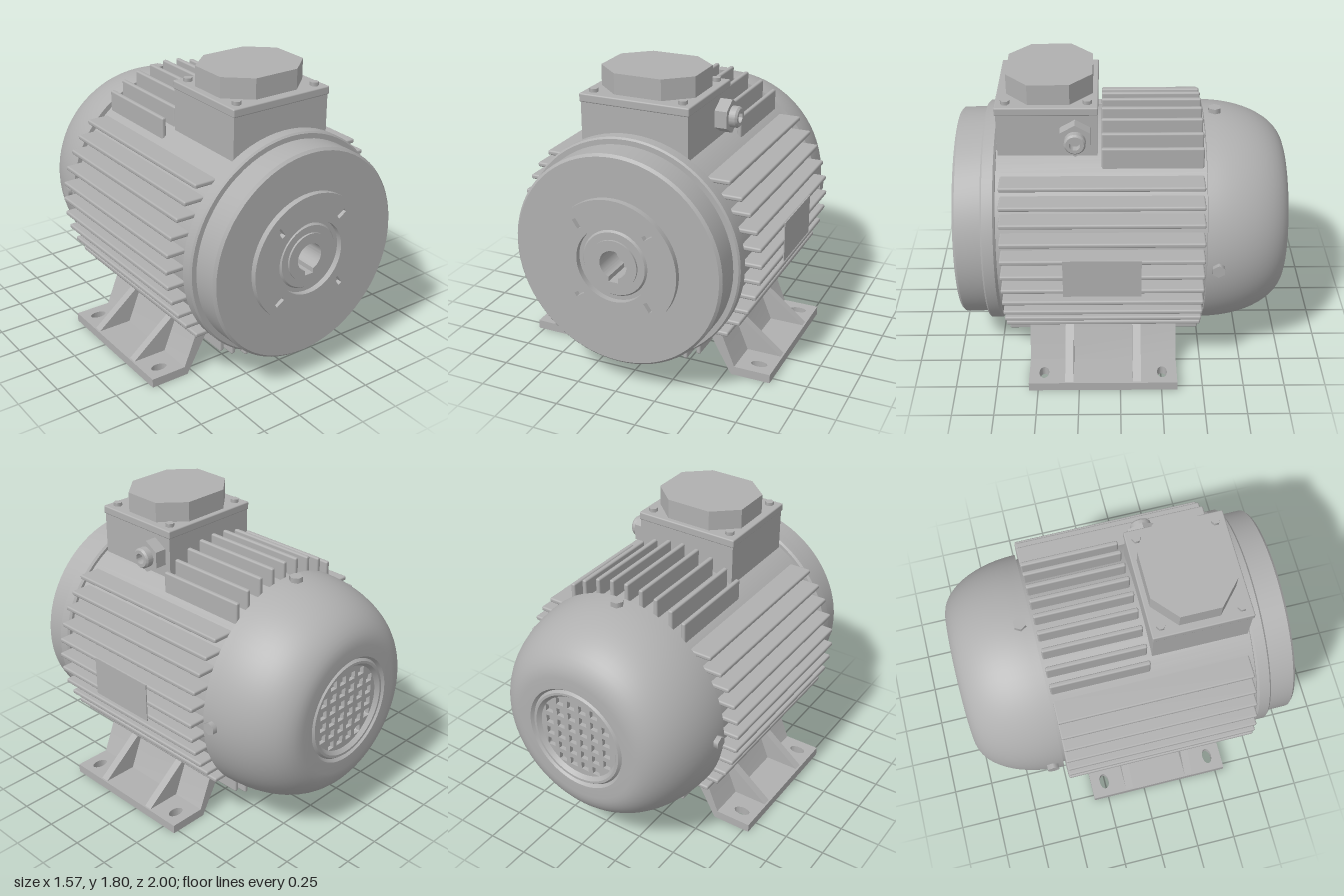
import * as THREE from 'three';
import { toCreasedNormals } from 'three/addons/utils/BufferGeometryUtils.js';
import { RoundedBoxGeometry } from 'three/addons/geometries/RoundedBoxGeometry.js';

const castMetal = new THREE.MeshStandardMaterial({ color: 0xb0b0b0 });
castMetal.name = 'castMetal';
const AXIS = 0.815; // height of the shaft axis

function add(parent, name, geometry, x = 0, y = 0, z = 0) {
  const mesh = new THREE.Mesh(geometry, castMetal);
  mesh.name = name;
  mesh.position.set(x, y, z);
  parent.add(mesh);
  return mesh;
}

// Turned part about the z axis from [radius, z] pairs, running from back to front
function turned(points) {
  const profile = points.map(([r, z]) => new THREE.Vector2(r, z));
  return toCreasedNormals(new THREE.LatheGeometry(profile, 72).rotateX(Math.PI / 2), 0.5);
}

const polygon = (points) => new THREE.Shape(points.map(([x, y]) => new THREE.Vector2(x, y)));
const extrude = (shape, depth) =>
  toCreasedNormals(new THREE.ExtrudeGeometry(shape, { depth, bevelEnabled: false, curveSegments: 36 }), 0.5);
const disc = (r) => new THREE.Shape().absarc(0, 0, r, 0, Math.PI * 2);

// Rectangular hole with its centre, size and turn
function slot(x, y, w, h, turn = 0) {
  const c = Math.cos(turn), s = Math.sin(turn);
  return polygon([[-w, -h], [w, -h], [w, h], [-w, h]].map(([u, v]) =>
    [x + (u * c - v * s) / 2, y + (u * s + v * c) / 2]));
}

function buildHousing(motor) {
  const housing = new THREE.Group();
  housing.name = 'housing';
  housing.position.y = AXIS;
  motor.add(housing);

  add(housing, 'statorBody', turned([[0, -0.52], [0.65, -0.52], [0.65, 0.8], [0, 0.8]]));

  // Front flange, drum and stepped bearing seat
  add(housing, 'frontEndShield', turned([
    [0.6, 0.715], [0.668, 0.715], [0.68, 0.727], [0.68, 0.79], [0.67, 0.8], [0.64, 0.8],
    [0.64, 0.95], [0.625, 0.965], [0.2, 0.965], [0.19, 0.978], [0.14, 0.978],
  ]));
  const plate = disc(0.39);
  plate.holes.push(disc(0.225));
  for (let i = 0; i < 4; i++) {
    const a = Math.PI / 4 + i * Math.PI / 2;
    plate.holes.push(slot(0.305 * Math.cos(a), 0.305 * Math.sin(a), 0.06, 0.025, a - 0.2));
  }
  add(housing, 'frontPlate', extrude(plate, 0.04), 0, 0, 0.96);

  // Hub with a keyed bore
  const hub = disc(0.146);
  const bore = new THREE.Path();
  bore.absarc(0, 0, 0.084, -Math.PI / 2 + 0.36, Math.PI * 1.5 - 0.36);
  bore.lineTo(-0.03, -0.108);
  bore.lineTo(0.03, -0.108);
  bore.closePath();
  hub.holes.push(bore);
  add(housing, 'shaftHub', extrude(hub, 0.19), 0, 0, 0.8);

  // Cooling fins on four sides: 0 = left, 1 = top, 2 = right, 3 = bottom
  const offsets = [0, 0.1, 0.2, 0.3, 0.385, 0.47];
  for (let side = 0; side < 4; side++) {
    const fins = new THREE.Group();
    fins.name = ['leftFins', 'topFins', 'rightFins', 'bottomFins'][side];
    fins.rotation.z = side * Math.PI / 2;
    housing.add(fins);
    const front = side === 1 ? 0.105 : 0.69;
    const back = -0.485;
    offsets.slice(0, side % 2 ? 5 : 6).forEach((o) => {
      const inner = Math.sqrt(0.65 ** 2 - o * o) - 0.03;
      const tip = Math.sqrt((0.765 - 0.12 * o * o) ** 2 - o * o);
      for (const sign of o ? [-1, 1] : [1]) {
        add(fins, 'fin', new RoundedBoxGeometry(tip - inner, 0.028, front - back, 2, 0.01),
          (inner + tip) / 2, sign * o, (front + back) / 2);
      }
    });
  }

  // Type plate carried by the left fins
  add(housing, 'typePlate', new THREE.BoxGeometry(0.006, 0.245, 0.45), 0.766, 0, 0.105);
}

function buildFanCover(motor) {
  const cover = new THREE.Group();
  cover.name = 'fanCover';
  cover.position.y = AXIS;
  motor.add(cover);

  // Domed shell with a grooved rim around the air inlet
  const profile = [[0.265, -0.94], [0.265, -0.975], [0.285, -0.998], [0.3, -0.998], [0.313, -0.982], [0.328, -1]];
  for (let i = 0; i <= 14; i++) {
    const a = (i / 14) * Math.PI / 2;
    profile.push([0.4 + 0.28 * Math.sin(a), -0.5 - 0.5 * Math.cos(a)]);
  }
  profile.push([0.64, -0.5]);
  add(cover, 'coverShell', turned(profile));

  // Square-holed inlet grille
  const grille = disc(0.27);
  for (let i = 0; i < 6; i++) {
    for (let j = 0; j < 6; j++) {
      const x = (i - 2.5) * 0.08, y = (j - 2.5) * 0.08;
      if (Math.hypot(x, y) < 0.24) grille.holes.push(slot(x, y, 0.05, 0.05));
    }
  }
  add(cover, 'inletGrille', extrude(grille, 0.025), 0, 0, -0.975);
  add(cover, 'grilleBacking', new THREE.CircleGeometry(0.27, 48).rotateY(Math.PI), 0, 0, -0.942);

  // Hex screws around the cover edge
  for (let i = 0; i < 4; i++) {
    const a = i * Math.PI / 2;
    const screw = add(cover, 'coverScrew',
      new THREE.CylinderGeometry(0.04, 0.04, 0.06, 6).toNonIndexed().rotateY(Math.PI / 6),
      0.675 * Math.cos(a), 0.675 * Math.sin(a), -0.567);
    screw.rotation.z = a - Math.PI / 2;
  }
}

function buildTerminalBox(motor) {
  const box = new THREE.Group();
  box.name = 'terminalBox';
  motor.add(box);
  add(box, 'boxBody', new THREE.BoxGeometry(0.655, 0.275, 0.575), 0, 1.5, 0.418);
  add(box, 'boxLid', new RoundedBoxGeometry(0.67, 0.05, 0.59, 2, 0.008), 0, 1.658, 0.418);

  // Raised eight-sided cap
  const w = 0.29, d = 0.25, c = 0.143;
  const cap = polygon([[-c, -d], [c, -d], [w, -d + 0.13], [w, d - 0.13], [c, d], [-c, d], [-w, d - 0.13], [-w, -d + 0.13]]);
  add(box, 'boxCap', extrude(cap, 0.125).rotateX(-Math.PI / 2), 0, 1.68, 0.405);

  for (const x of [-0.272, 0.272]) {
    for (const z of [0.185, 0.652]) {
      add(box, 'lidScrew', new THREE.CylinderGeometry(0.027, 0.027, 0.03, 6), x, 1.69, z);
    }
  }

  // Cable gland on the left wall
  const gland = new THREE.Group();
  gland.name = 'cableGland';
  gland.position.set(0.32, 1.508, 0.255);
  gland.rotation.y = Math.PI / 2;
  box.add(gland);
  const nut = polygon([0, 1, 2, 3, 4, 5].map((i) => {
    const a = Math.PI / 2 + i * Math.PI / 3;
    return [0.1 * Math.cos(a), 0.1 * Math.sin(a)];
  }));
  add(gland, 'glandNut', extrude(nut, 0.082));
  add(gland, 'glandSleeve', turned([[0.062, 0.07], [0.062, 0.12], [0.052, 0.132], [0.032, 0.132], [0.032, 0.085], [0, 0.085]]));
}

function buildFeet(motor) {
  const length = 0.9;
  const wall = polygon([[0.54, 0], [0.575, 0.03], [0.56, 0.055], [0.45, 0.325], [0.38, 0.325], [0.38, 0.285]]);
  const rib = polygon([[0.78, 0.05], [0.55, 0.05], [0.44, 0.3], [0.47, 0.3]]);
  const base = polygon([[0.54, -length / 2], [0.785, -length / 2], [0.785, length / 2], [0.54, length / 2]]);
  for (const z of [-0.36, 0.36]) {
    base.holes.push(new THREE.Path().absellipse(0.685, z, 0.05, 0.03, 0, Math.PI * 2));
  }
  for (const turn of [0, Math.PI]) {
    const foot = new THREE.Group();
    foot.name = turn ? 'rightFoot' : 'leftFoot';
    foot.position.z = 0.105;
    foot.rotation.y = turn;
    motor.add(foot);
    add(foot, 'footBase', extrude(base, 0.055).rotateX(-Math.PI / 2));
    add(foot, 'footWall', extrude(wall, length), 0, 0, -length / 2);
    for (const z of [-0.205, 0.205]) add(foot, 'footRib', extrude(rib, 0.05), 0, 0, z - 0.025);
  }
}

export function createModel() {
  const motor = new THREE.Group();
  motor.name = 'electricMotor';
  buildHousing(motor);
  buildFanCover(motor);
  buildTerminalBox(motor);
  buildFeet(motor);
  return motor;
}
